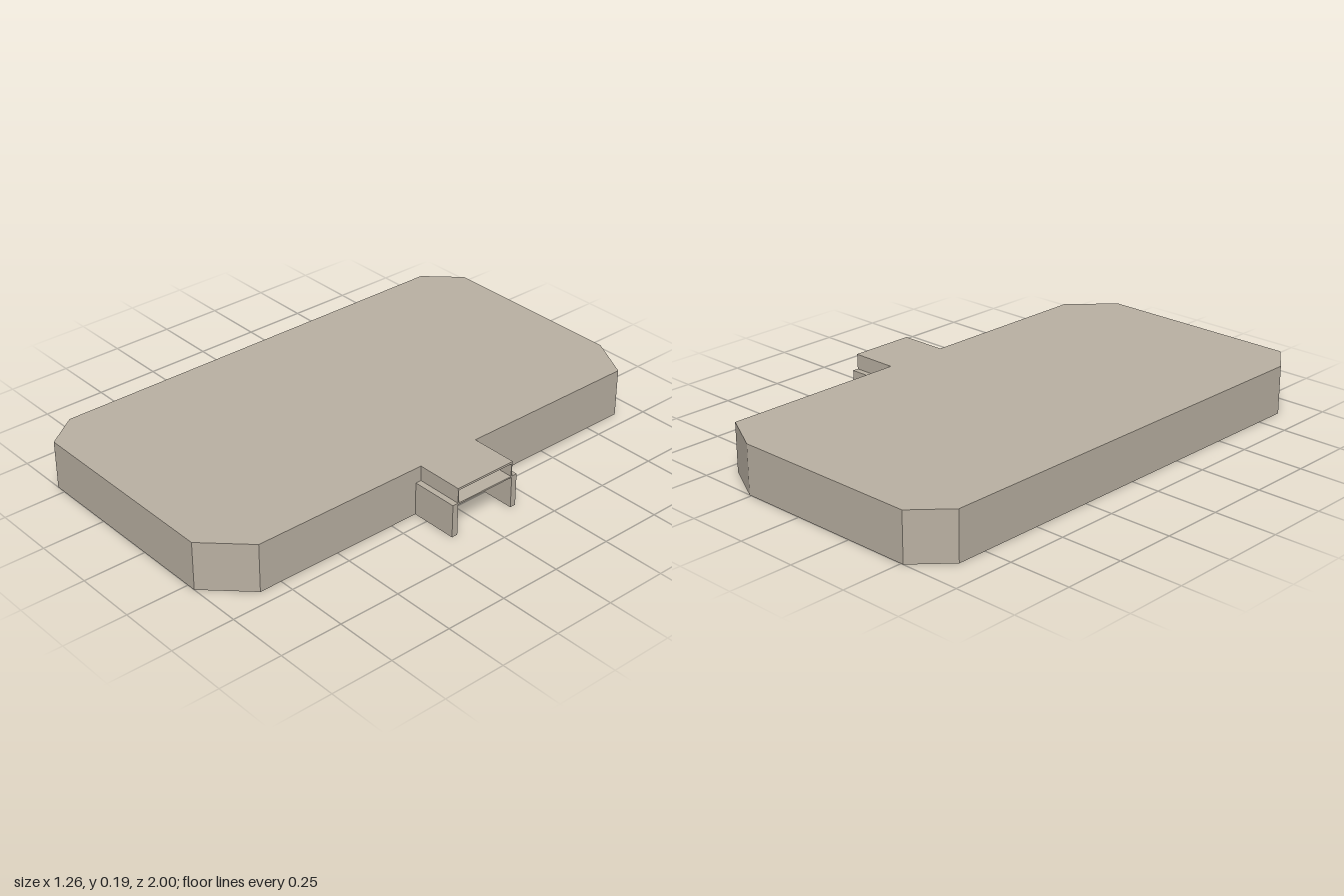
import * as THREE from 'three';

export function createModel() {
  const model = new THREE.Group();
  const mat = (name, color) => {
    const m = new THREE.MeshStandardMaterial({ color });
    m.name = name;
    return m;
  };
  const stone = mat('warm stone', 0xb9b0a2);
  const darkWood = mat('dark wood', 0x4a271b);
  const wood = mat('warm wood', 0x7a4328);

  const add = (name, geo, m, x = 0, y = 0, z = 0, parent = model) => {
    const mesh = new THREE.Mesh(geo, m);
    mesh.name = name;
    mesh.position.set(x, y, z);
    parent.add(mesh);
    return mesh;
  };
  // box given by its lower and upper limits
  const box = (name, m, x0, x1, y0, y1, z0, z1, parent = model) =>
    add(name, new THREE.BoxGeometry(x1 - x0, y1 - y0, z1 - z0), m,
      (x0 + x1) / 2, (y0 + y1) / 2, (z0 + z1) / 2, parent);

  // roof slab with chamfered corners
  const plan = [[-0.54, 1], [0.285, 1], [0.44, 0.84], [0.44, -0.905],
    [0.26, -1], [-0.51, -1], [-0.635, -0.87], [-0.635, 0.87]];
  const shape = new THREE.Shape(plan.map(([x, z]) => new THREE.Vector2(x, -z)));
  const slab = new THREE.ExtrudeGeometry(shape, { depth: 0.008, bevelEnabled: false });
  slab.rotateX(-Math.PI / 2);
  add('roof', slab, stone, 0, 0.186, 0);

  // outer walls, open at the entrance
  const wall = ([x0, z0], [x1, z1]) => {
    const dx = x1 - x0, dz = z1 - z0, len = Math.hypot(dx, dz), t = 0.006;
    const w = add('outerWall', new THREE.BoxGeometry(len, 0.186, t), stone,
      (x0 + x1) / 2 + dz / len * t / 2, 0.093, (z0 + z1) / 2 - dx / len * t / 2);
    w.rotation.y = Math.atan2(-dz, dx);
  };
  plan.forEach((p, i) => {
    const q = plan[(i + 1) % plan.length];
    if (i === 2) {
      wall(p, [0.44, 0.113]);
      wall([0.44, -0.148], q);
    } else wall(p, q);
  });

  // entrance porch: wide lower passage and a narrower raised roof
  const porch = new THREE.Group();
  porch.name = 'porch';
  model.add(porch);
  box('porchRoof', stone, 0.44, 0.63, 0.186, 0.194, -0.15, 0.115, porch);
  box('porchCanopy', stone, 0.44, 0.63, 0.127, 0.133, -0.172, 0.138, porch);
  for (const [inner, outer] of [[0.113, 0.138], [-0.148, -0.172]]) {
    const a = Math.min(inner, outer), b = Math.max(inner, outer);
    box('porchSide', stone, 0.44, 0.63, 0, 0.133, a, b, porch);
    const edge = inner > 0 ? inner - 0.003 : inner;
    box('porchUpperSide', stone, 0.44, 0.63, 0.133, 0.186, edge, edge + 0.004, porch);
  }

  // long boards hung under the roof
  for (const x of [0.08, -0.13, -0.34]) {
    box('hangingBoard', darkWood, x - 0.055, x + 0.055, 0.153, 0.17, -0.84, 0.84);
    for (const z of [-0.6, -0.01, 0.6])
      box('hangerRod', darkWood, x - 0.004, x + 0.004, 0.145, 0.186, z - 0.004, z + 0.004);
  }

  // three octagonal platforms near the entrance
  for (const [x, z] of [[0.08, 0.15], [-0.03, 0.02], [0.09, -0.09]])
    add('octagonPlatform', new THREE.CylinderGeometry(0.085, 0.085, 0.022, 8), stone, x, 0.011, z)
      .rotation.y = Math.PI / 8;

  // benches with taller end panels and slatted backs
  for (const x of [0.07, -0.15, -0.37]) for (const z of [-0.76, -0.47, 0.44, 0.74]) {
    const bench = new THREE.Group();
    bench.name = 'bench';
    bench.position.set(x, 0, z);
    model.add(bench);
    box('seat', darkWood, -0.045, 0.045, 0, 0.035, -0.1, 0.1, bench);
    box('backRail', darkWood, -0.006, 0.006, 0.07, 0.08, -0.1, 0.1, bench);
    for (let i = 0; i < 8; i++) {
      const s = -0.088 + i * 0.025;
      box('slat', darkWood, -0.005, 0.005, 0.035, 0.07, s - 0.006, s + 0.006, bench);
    }
    box('endPanel', wood, -0.045, 0.045, 0, 0.085, -0.108, -0.1, bench);
  }
  for (const x of [-0.17, 0.07]) for (const z of [-0.24, 0.27])
    box('partition', wood, x - 0.045, x + 0.045, 0.005, 0.085, z - 0.006, z + 0.006);

  // curved booths along the entrance side
  const arc = new THREE.Shape();
  arc.absarc(0, 0, 0.095, -2.1, 2.1, false);
  arc.absarc(0, 0, 0.08, 2.1, -2.1, true);
  for (const z of [-0.77, -0.5, 0.4, 0.66]) {
    const geo = new THREE.ExtrudeGeometry(arc, { depth: 0.08, bevelEnabled: false, curveSegments: 16 });
    geo.rotateX(-Math.PI / 2);
    add('curvedBooth', geo, wood, 0.325, 0, z);
    add('boothTable', new THREE.CylinderGeometry(0.04, 0.04, 0.008, 16), darkWood, 0.31, 0.045, z);
    add('tableLeg', new THREE.CylinderGeometry(0.008, 0.008, 0.041, 8), darkWood, 0.31, 0.0205, z);
  }

  // low table opposite the entrance
  box('lowTable', wood, -0.62, -0.38, 0.012, 0.034, -0.125, -0.075);

  // columns along the walls
  for (const z of [-0.77, -0.37, 0.375, 0.745])
    box('woodColumn', wood, -0.61, -0.592, 0, 0.186, z - 0.009, z + 0.009);
  for (const [x, z] of [[-0.1, 0.87], [0.06, 0.92], [0.24, 0.92]])
    box('stoneColumn', stone, x - 0.008, x + 0.008, 0, 0.186, z - 0.008, z + 0.008);
  box('wallShelf', stone, -0.51, -0.46, 0.03, 0.045, 0.94, 0.975);

  return model;
}
